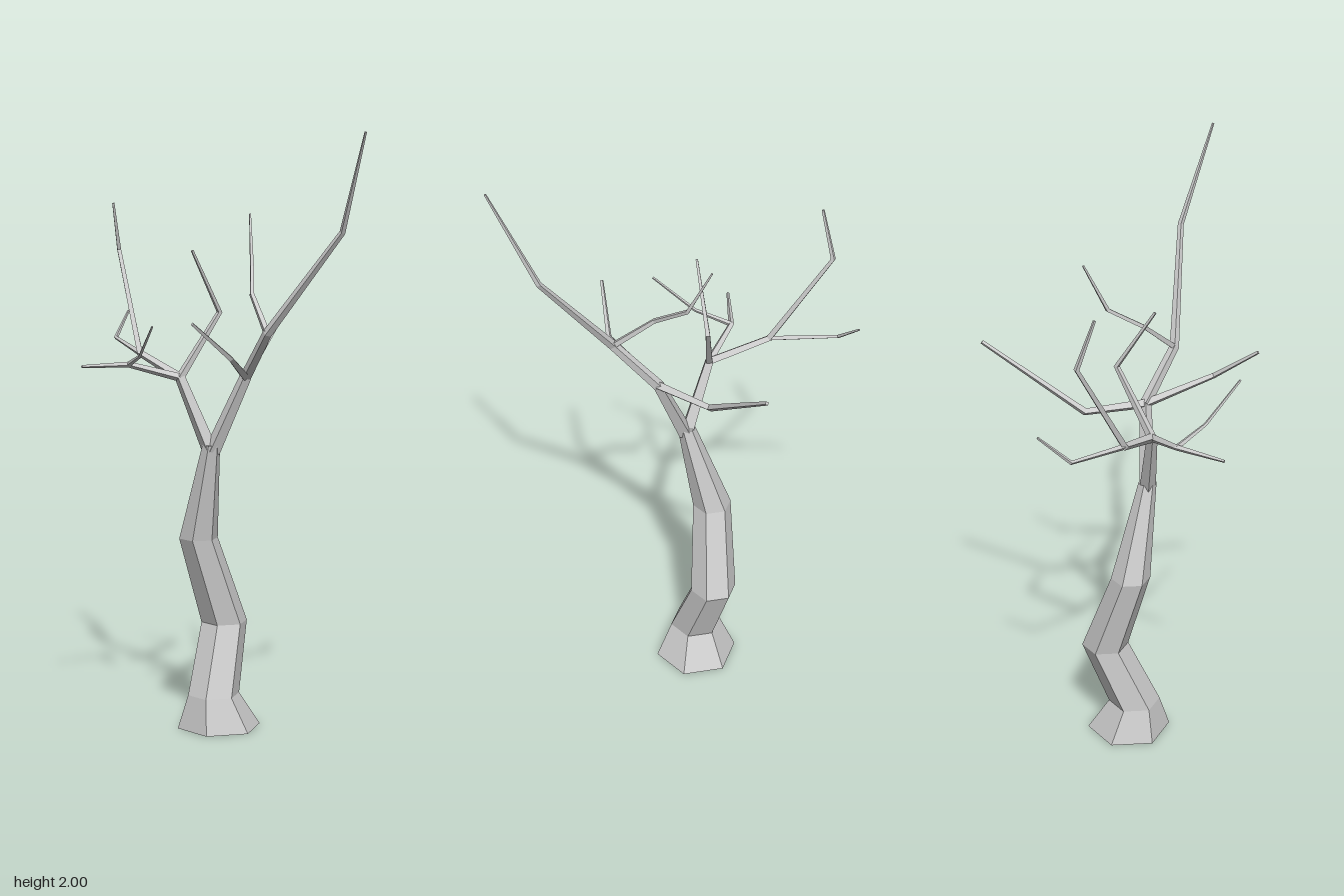
import * as THREE from 'three';

const material = new THREE.MeshStandardMaterial({ color: 0xcccccc, flatShading: true });

// Faceted, tapering limb through points [x, y, z, radius]; level keeps every ring horizontal
function limb(name, points, sides, level = false) {
  const p = points.map(([x, y, z]) => new THREE.Vector3(x, y, z));
  const n = p.length;
  const tangentAt = (i) => {
    if (level) return new THREE.Vector3(0, 1, 0);
    const t = new THREE.Vector3();
    if (i > 0) t.add(p[i].clone().sub(p[i - 1]).normalize());
    if (i < n - 1) t.add(p[i + 1].clone().sub(p[i]).normalize());
    return t.normalize();
  };

  const pos = [];
  const index = [];
  let t = tangentAt(0);
  const u = Math.abs(t.z) > 0.9 ? new THREE.Vector3(1, 0, 0) : new THREE.Vector3(0, 0, 1);
  u.addScaledVector(t, -u.dot(t)).normalize();

  // Rings, with the frame carried along the path
  for (let i = 0; i < n; i++) {
    const next = tangentAt(i);
    u.applyQuaternion(new THREE.Quaternion().setFromUnitVectors(t, next));
    t = next;
    const v = new THREE.Vector3().crossVectors(t, u);
    for (let j = 0; j < sides; j++) {
      const a = (j / sides) * Math.PI * 2;
      const q = p[i].clone()
        .addScaledVector(u, Math.cos(a) * points[i][3])
        .addScaledVector(v, Math.sin(a) * points[i][3]);
      pos.push(q.x, q.y, q.z);
    }
  }

  // Side faces
  for (let i = 0; i < n - 1; i++) {
    for (let j = 0; j < sides; j++) {
      const k = (j + 1) % sides;
      const a = i * sides + j, b = i * sides + k;
      index.push(a, b, b + sides, a, b + sides, a + sides);
    }
  }
  // End caps
  const top = (n - 1) * sides;
  for (let j = 1; j < sides - 1; j++) {
    index.push(0, j + 1, j, top, top + j, top + j + 1);
  }

  const indexed = new THREE.BufferGeometry();
  indexed.setAttribute('position', new THREE.Float32BufferAttribute(pos, 3));
  indexed.setIndex(index);
  const geometry = indexed.toNonIndexed();
  geometry.computeVertexNormals();
  const mesh = new THREE.Mesh(geometry, material);
  mesh.name = name;
  return mesh;
}

export function createModel() {
  const tree = new THREE.Group();
  tree.name = 'bareTree';

  // Crooked six-sided trunk with flared foot
  tree.add(limb('trunk', [
    [-0.067, 0, 0.022, 0.142],
    [-0.08, 0.115, 0.04, 0.088],
    [-0.073, 0.345, -0.06, 0.079],
    [-0.138, 0.643, 0.021, 0.066],
    [-0.074, 0.97, 0.082, 0.03],
  ], 6, true));

  // Fork points
  const rightFork = [-0.18, 1.19, 0.085];
  const leftFork = [0.045, 1.2, 0.085];
  const rightKnee = [-0.355, 1.255, -0.018];
  const lowKnee = [-0.337, 1.235, 0.147];
  const leftKnee = [0.148, 1.355, 0.19];

  const branches = {
    // Two main boughs
    rightBough: [[-0.078, 0.95, 0.082, 0.027], [...rightFork, 0.018]],
    leftBough: [[-0.07, 0.95, 0.082, 0.027], [...leftFork, 0.02]],

    // Right side, back
    rightBackBranch: [[...rightFork, 0.016], [...rightKnee, 0.013],
      [-0.482, 1.59, -0.175, 0.009], [-0.482, 1.75, -0.12, 0.005]],
    rightBackTwig: [[...rightKnee, 0.01], [-0.503, 1.285, -0.195, 0.007],
      [-0.492, 1.37, -0.297, 0.004]],

    // Right side, front
    rightFrontBranch: [[...rightFork, 0.014], [...lowKnee, 0.01],
      [-0.45, 1.24, 0.285, 0.005]],
    rightFrontTwig: [[...lowKnee, 0.009], [-0.264, 1.275, 0.247, 0.006],
      [-0.18, 1.385, 0.367, 0.004]],

    // Right side, inner
    rightInnerBranch: [[...rightFork, 0.015], [-0.076, 1.4, -0.02, 0.01],
      [-0.133, 1.61, 0.097, 0.005]],

    // Left side, tall
    leftTallBranch: [[...leftFork, 0.019], [...leftKnee, 0.016],
      [0.405, 1.685, 0.235, 0.01], [0.505, 2, 0.35, 0.004]],
    leftTallTwig: [[...leftKnee, 0.012], [0.065, 1.47, 0.08, 0.009],
      [0.03, 1.55, -0.04, 0.008], [0, 1.72, -0.12, 0.004]],

    // Left side, back and front
    leftBackBranch: [[...leftFork, 0.017], [0.002, 1.2, -0.118, 0.013],
      [0.069, 1.435, -0.447, 0.007]],
    leftFrontBranch: [[...leftFork, 0.016], [0.063, 1.285, 0.313, 0.01],
      [-0.022, 1.405, 0.445, 0.006]],
  };
  for (const [name, points] of Object.entries(branches)) {
    tree.add(limb(name, points, 4));
  }
  return tree;
}
